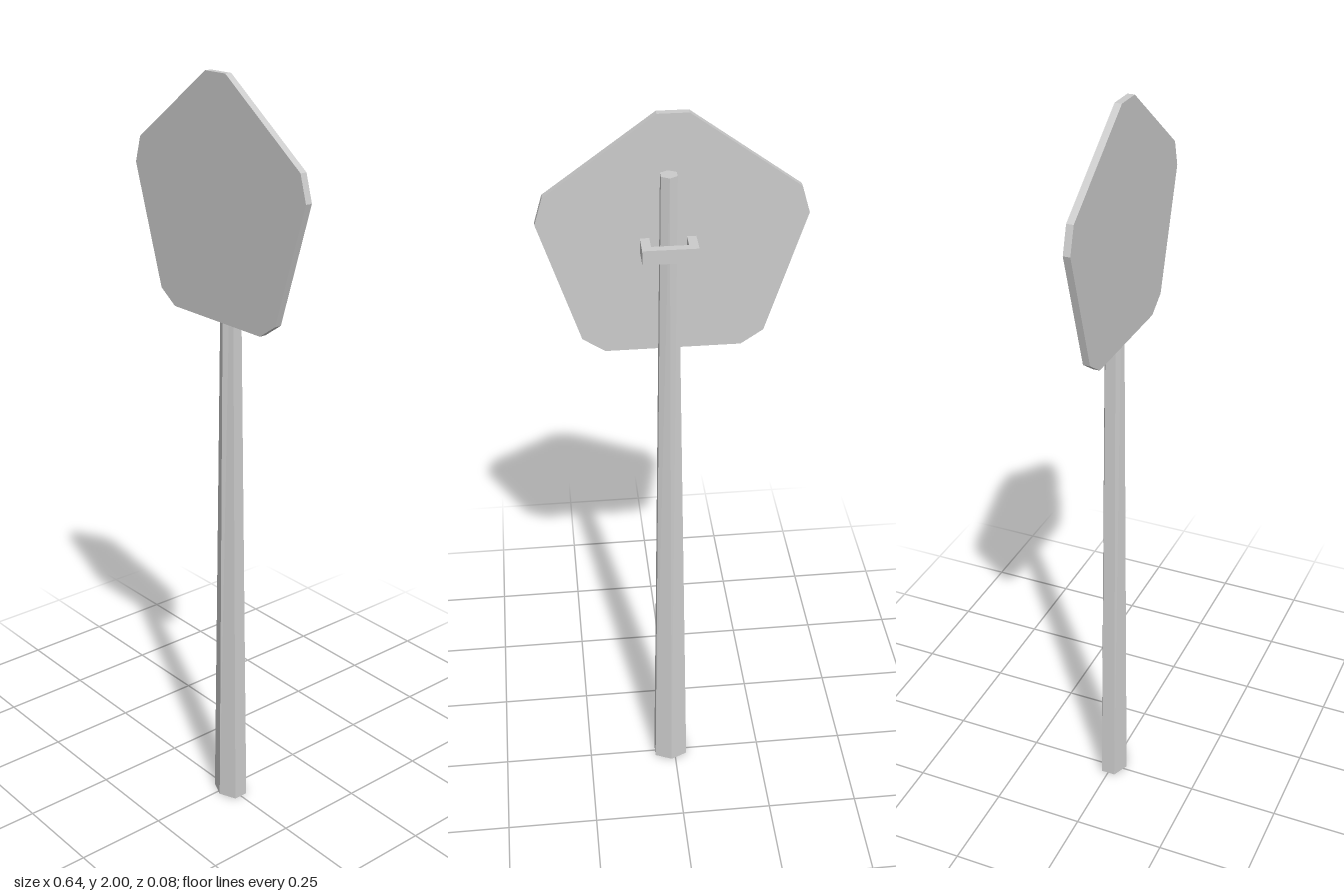
import * as THREE from 'three';

const material = new THREE.MeshStandardMaterial({ color: 0xcccccc, flatShading: true });

function addPart(group, name, geometry) {
  const mesh = new THREE.Mesh(geometry, material);
  mesh.name = name;
  group.add(mesh);
  return mesh;
}

// Flat outline given as [x, y] corners, extruded along +z
function extrudeOutline(points, depth) {
  const shape = new THREE.Shape(points.map(([x, y]) => new THREE.Vector2(x, y)));
  return new THREE.ExtrudeGeometry(shape, { depth, bevelEnabled: false });
}

export function createModel() {
  const group = new THREE.Group();
  group.name = 'signPost';
  const poleX = 0.012;

  // Six-sided tapered pole, widening sideways towards its foot
  const height = 1.865;
  const poleGeometry = new THREE.CylinderGeometry(0.022, 0.04, height, 6);
  poleGeometry.translate(0, height / 2, 0);
  const pos = poleGeometry.attributes.position;
  for (let i = 0; i < pos.count; i++) {
    const widen = THREE.MathUtils.lerp(1.33, 1, pos.getY(i) / height);
    pos.setX(i, pos.getX(i) * widen);
  }
  poleGeometry.computeVertexNormals();
  addPart(group, 'pole', poleGeometry).position.x = poleX;

  // Pentagonal sign plate with clipped corners, mirrored from its right half
  const half = [[0.166, 1.4], [0.221, 1.437], [0.319, 1.745], [0.299, 1.812], [0.037, 2]];
  const mirrored = half.map(([x, y]) => [-x, y]).reverse();
  const plate = addPart(group, 'signPlate', extrudeOutline([...half, ...mirrored], 0.018));
  plate.position.z = 0.02;

  // U-shaped clamp around the pole, joined to the back of the plate
  const clampOutline = [
    [-0.066, -0.02], [-0.044, -0.02], [-0.044, 0.024], [0.044, 0.024],
    [0.044, -0.02], [0.066, -0.02], [0.066, 0.044], [-0.066, 0.044],
  ];
  const clampGeometry = extrudeOutline(clampOutline, 0.036);
  clampGeometry.rotateX(-Math.PI / 2); // outline y becomes -z
  addPart(group, 'clamp', clampGeometry).position.set(poleX, 1.663, 0);

  return group;
}
